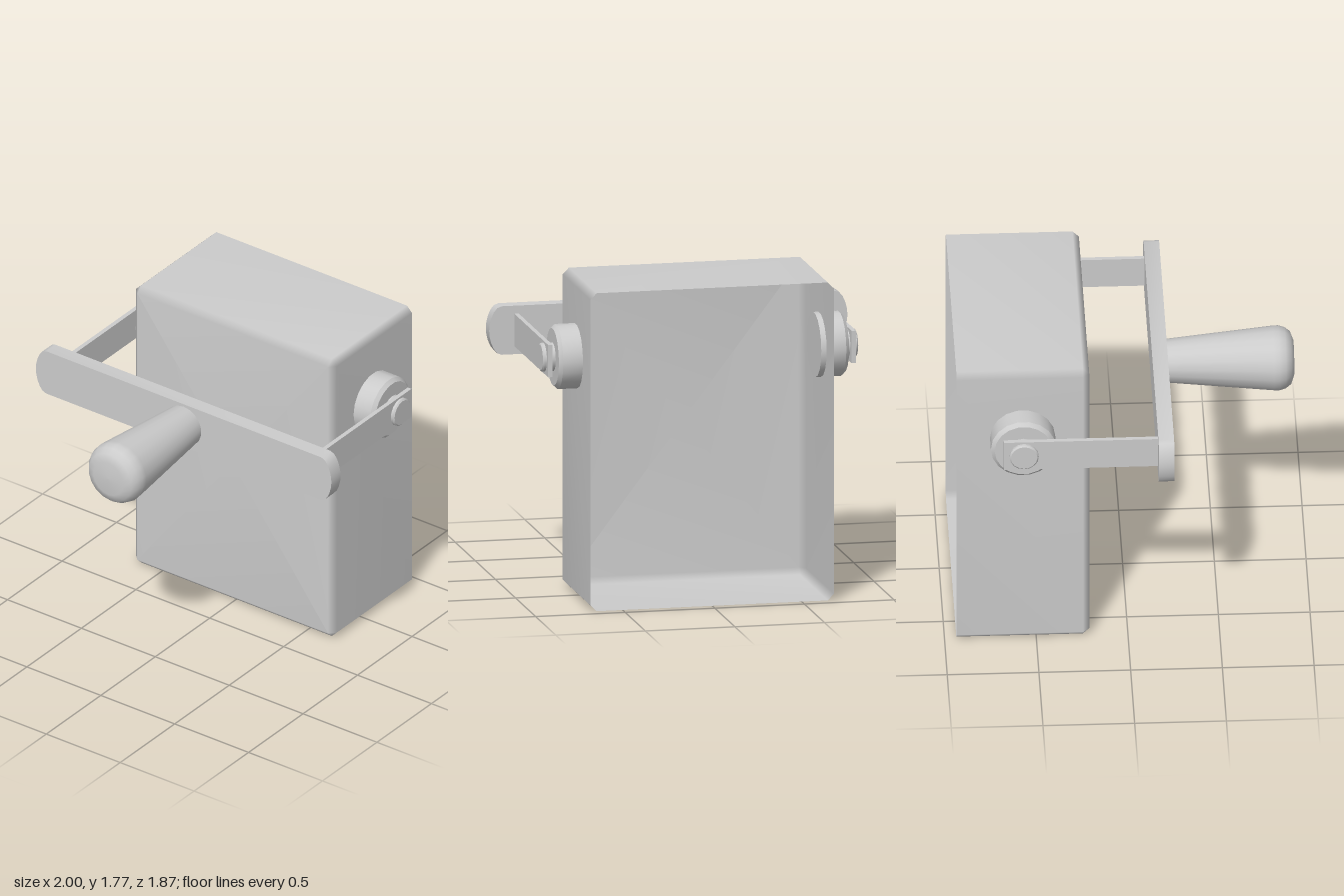
import * as THREE from 'three';
import { toCreasedNormals } from 'three/addons/utils/BufferGeometryUtils.js';

const AXLE_Y = 1.35, AXLE_Z = -0.575;

function createMaterial() {
  return new THREE.MeshStandardMaterial({ color: 0xcccccc, side: THREE.DoubleSide });
}

// Thin box with bevelled edges, open at the back, lofted from chamfered rings
function shellGeometry(halfW, height, back, front, bevel) {
  const positions = [], index = [], n = 8;
  const rings = [[0, back], [0, front - bevel], [bevel, front]];
  for (const [inset, z] of rings) {
    const x = halfW - inset, y = height / 2 - inset, c = bevel - inset;
    const corners = [[x, -y + c], [x, y - c], [x - c, y], [-x + c, y],
      [-x, y - c], [-x, -y + c], [-x + c, -y], [x - c, -y]];
    for (const [px, py] of corners) positions.push(px, py + height / 2, z);
  }
  for (let r = 0; r < rings.length - 1; r++) {
    for (let i = 0; i < n; i++) {
      const a = r * n + i, b = r * n + (i + 1) % n;
      index.push(a, b, b + n, a, b + n, a + n);
    }
  }
  const centre = positions.length / 3, last = (rings.length - 1) * n;
  positions.push(0, height / 2, front);
  for (let i = 0; i < n; i++) index.push(centre, last + i, last + (i + 1) % n);
  const geometry = new THREE.BufferGeometry();
  geometry.setAttribute('position', new THREE.Float32BufferAttribute(positions, 3));
  geometry.setIndex(index);
  geometry.computeVertexNormals(); // area weighting keeps the large faces flat
  return geometry;
}

function lathe(profile, segments) {
  return new THREE.LatheGeometry(profile.map(([r, y]) => new THREE.Vector2(r, y)), segments);
}

// Disc along the x axis with a bevelled outer rim
function discGeometry(radius, inner, outer, bevel, segments) {
  const g = lathe([[0, inner], [radius, inner], [radius, outer - bevel],
    [radius - bevel, outer], [0, outer]], segments);
  return toCreasedNormals(g, 0.6).rotateZ(-Math.PI / 2);
}

export function createModel() {
  const model = new THREE.Group();
  model.name = 'leverBox';
  const material = createMaterial();
  const add = (name, geometry, parent = model) => {
    const mesh = new THREE.Mesh(geometry, material);
    mesh.name = name;
    parent.add(mesh);
    return mesh;
  };

  add('housing', shellGeometry(0.68, 1.77, -0.935, -0.21, 0.035));

  // Pivots and side arms, mirrored by a half turn about the axle's middle
  for (const side of [1, -1]) {
    const label = side > 0 ? 'left' : 'right';
    const pivot = new THREE.Group();
    pivot.name = label + 'Pivot';
    pivot.position.set(0, AXLE_Y, AXLE_Z);
    if (side < 0) pivot.rotation.y = Math.PI;
    model.add(pivot);
    add(label + 'Boss', discGeometry(0.178, 0.65, 0.81, 0.02, 18), pivot);
    add(label + 'Pin', discGeometry(0.08, 0.8, 0.88, 0.008, 16), pivot);

    const arm = add(label + 'Arm', new THREE.BoxGeometry(0.025, 0.18, 0.87));
    arm.position.set(side * 0.847, AXLE_Y, -0.25);
  }

  // Crossbar with bowed ends
  const bar = new THREE.Shape();
  bar.moveTo(-0.93, -0.135);
  bar.lineTo(0.93, -0.135);
  bar.bezierCurveTo(0.975, -0.135, 1, -0.05, 1, 0);
  bar.bezierCurveTo(1, 0.05, 0.975, 0.135, 0.93, 0.135);
  bar.lineTo(-0.93, 0.135);
  bar.bezierCurveTo(-0.975, 0.135, -1, 0.05, -1, 0);
  bar.bezierCurveTo(-1, -0.05, -0.975, -0.135, -0.93, -0.135);
  const barGeometry = new THREE.ExtrudeGeometry(bar, { depth: 0.085, bevelEnabled: false, curveSegments: 5 });
  add('crossbar', toCreasedNormals(barGeometry, 0.6)).position.set(0, AXLE_Y, 0.155);

  // Tapered grip with a rounded tip
  const grip = lathe([[0.116, 0.2], [0.177, 0.82], [0.178, 0.85], [0.168, 0.885],
    [0.145, 0.915], [0.1, 0.932], [0, 0.935]], 18);
  grip.rotateX(Math.PI / 2);
  add('grip', grip).position.y = AXLE_Y;

  return model;
}
